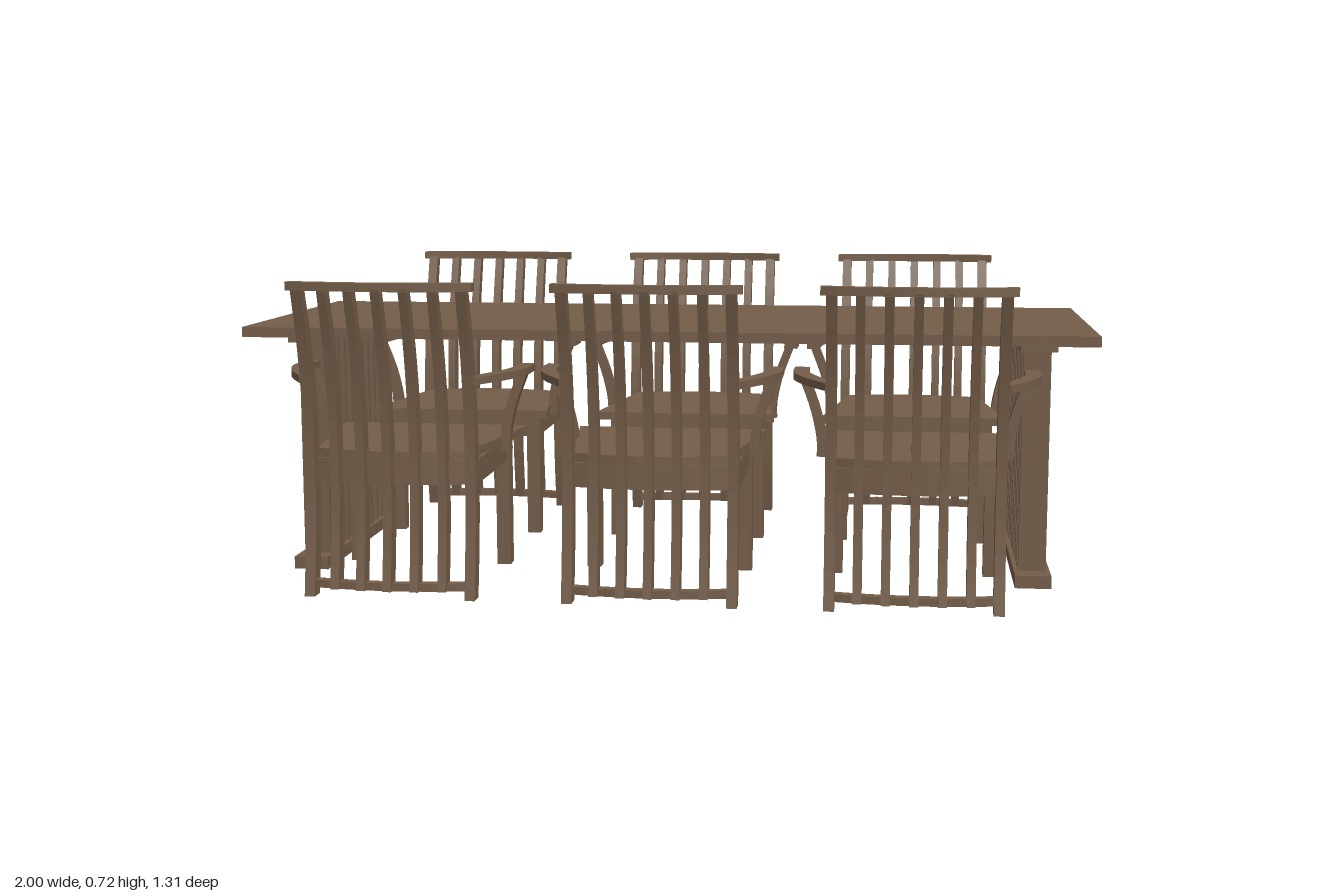
import * as THREE from 'three';

const wood = new THREE.MeshStandardMaterial({ color: 0x745d49 });
wood.name = 'brown wood';

function add(group, name, geometry) {
  const mesh = new THREE.Mesh(geometry, wood);
  mesh.name = name;
  group.add(mesh);
  return mesh;
}

// Box given by its limits on each axis
function box(group, name, x0, x1, y0, y1, z0, z1) {
  const g = new THREE.BoxGeometry(x1 - x0, y1 - y0, z1 - z0);
  g.translate((x0 + x1) / 2, (y0 + y1) / 2, (z0 + z1) / 2);
  return add(group, name, g);
}

const toShape = (pts) => new THREE.Shape(pts.map(([a, b]) => new THREE.Vector2(a, b)));
const extrude = (pts, depth) =>
  new THREE.ExtrudeGeometry(toShape(pts), { depth, bevelEnabled: false });

// Plate with an outline in x and z, between two heights
function plate(pts, y0, y1) {
  return extrude(pts, y1 - y0).rotateX(Math.PI / 2).translate(0, y1, 0);
}

// Outline of a bowed rail: further back in the middle than at the ends
function bow(half, endZ, midZ, thick, n = 12) {
  const outer = [], inner = [];
  for (let i = 0; i <= n; i++) {
    const t = (2 * i) / n - 1;
    const z = midZ - (midZ - endZ) * t * t;
    outer.push([t * half, z + thick]);
    inner.unshift([t * half, z]);
  }
  return [...outer, ...inner];
}

// Front edge of the curved back uprights, as [z, y]
const backCurve = new THREE.SplineCurve(
  [[0.55, 0], [0.533, 0.1], [0.523, 0.2], [0.521, 0.3], [0.527, 0.4],
    [0.542, 0.5], [0.566, 0.6], [0.602, 0.71]].map(([z, y]) => new THREE.Vector2(z, y)));

function upright(width, start) {
  const front = [], back = [];
  for (let i = 0; i <= 16; i++) {
    const t = start + (1 - start) * (i / 16);
    const p = backCurve.getPoint(t);
    const depth = 0.038 + 0.006 * Math.sin(Math.PI * t) - 0.01 * t;
    front.push([p.x, p.y]);
    back.unshift([p.x + depth, p.y]);
  }
  return extrude([...front, ...back], width).rotateY(-Math.PI / 2).translate(width / 2, 0, 0);
}

// Chair with its back towards +z
function createChair() {
  const chair = new THREE.Group();
  chair.name = 'chair';

  // Back: two stiles to the floor, five slats, crest and bottom rail
  for (let i = -3; i <= 3; i++) {
    const end = Math.abs(i) === 3;
    const slat = add(chair, end ? 'backStile' : 'backSlat',
      upright(end ? 0.024 : 0.02, end ? 0 : 0.04));
    slat.position.set(i * 0.0623, 0, 0.025 * (1 - (i / 3) ** 2));
  }
  add(chair, 'crestRail', plate(bow(0.211, 0.598, 0.624, 0.03), 0.705, 0.724));
  add(chair, 'bottomRail', plate(bow(0.19, 0.552, 0.574, 0.023), 0.02, 0.038));

  // Seat board, wider at the front
  const seatBack = bow(0.178, 0.528, 0.562, 0).slice(0, 13);
  add(chair, 'seat', plate([[-0.232, 0.125], ...seatBack, [0.232, 0.125]], 0.316, 0.336));

  // Apron frame under the seat
  box(chair, 'frontApron', -0.185, 0.185, 0.26, 0.316, 0.175, 0.195);
  add(chair, 'backApron', plate(bow(0.178, 0.522, 0.545, 0.018), 0.26, 0.316));

  for (const s of [-1, 1]) {
    box(chair, 'sideApron', s * 0.187 - 0.01, s * 0.187 + 0.01, 0.26, 0.316, 0.19, 0.535);
    box(chair, 'frontLeg', s * 0.185 - 0.017, s * 0.185 + 0.017, 0, 0.316, 0.172, 0.208);

    // Curved armrest
    const outer = new THREE.SplineCurve(
      [[0.282, 0.275], [0.28, 0.38], [0.25, 0.48], [0.2, 0.578]]
        .map(([x, z]) => new THREE.Vector2(x, z))).getPoints(12);
    const inner = new THREE.SplineCurve(
      [[0.178, 0.56], [0.215, 0.47], [0.243, 0.38], [0.248, 0.275]]
        .map(([x, z]) => new THREE.Vector2(x, z))).getPoints(12);
    const armPts = [...outer, ...inner].map((p) => [s * p.x, p.y]);
    add(chair, 'armrest', plate(armPts, 0.492, 0.509));

    // Flared arm support
    const flare = new THREE.SplineCurve(
      [[0.205, 0.303], [0.206, 0.35], [0.222, 0.42], [0.25, 0.495]]
        .map(([x, y]) => new THREE.Vector2(x, y))).getPoints(10);
    const supportPts = [
      ...flare.map((p) => [s * p.x, p.y]),
      ...flare.reverse().map((p) => [s * (p.x + 0.023), p.y]),
    ];
    add(chair, 'armSupport', extrude(supportPts, 0.031).translate(0, 0, 0.29));
  }
  return chair;
}

function createTable() {
  const table = new THREE.Group();
  table.name = 'table';
  box(table, 'tableTop', -1, 1, 0.574, 0.598, -0.381, 0.381);
  // Slatted end supports
  for (const s of [-1, 1]) {
    const x = s * 0.868;
    box(table, 'endTopRail', x - 0.042, x + 0.042, 0.555, 0.574, -0.316, 0.316);
    box(table, 'endFoot', x - 0.042, x + 0.042, 0, 0.03, -0.316, 0.316);
    for (let i = -5; i <= 5; i++) {
      const z = i * 0.0511;
      box(table, 'endSlat', x - 0.032, x + 0.032, 0.03, 0.555, z - 0.008, z + 0.008);
    }
  }
  return table;
}

export function createModel() {
  const model = new THREE.Group();
  model.name = 'diningSet';
  model.add(createTable());
  // Three chairs on each long side
  for (const x of [-0.597, -0.001, 0.589]) {
    for (const turn of [0, Math.PI]) {
      const chair = createChair();
      chair.position.x = x;
      chair.rotation.y = turn;
      model.add(chair);
    }
  }
  return model;
}
